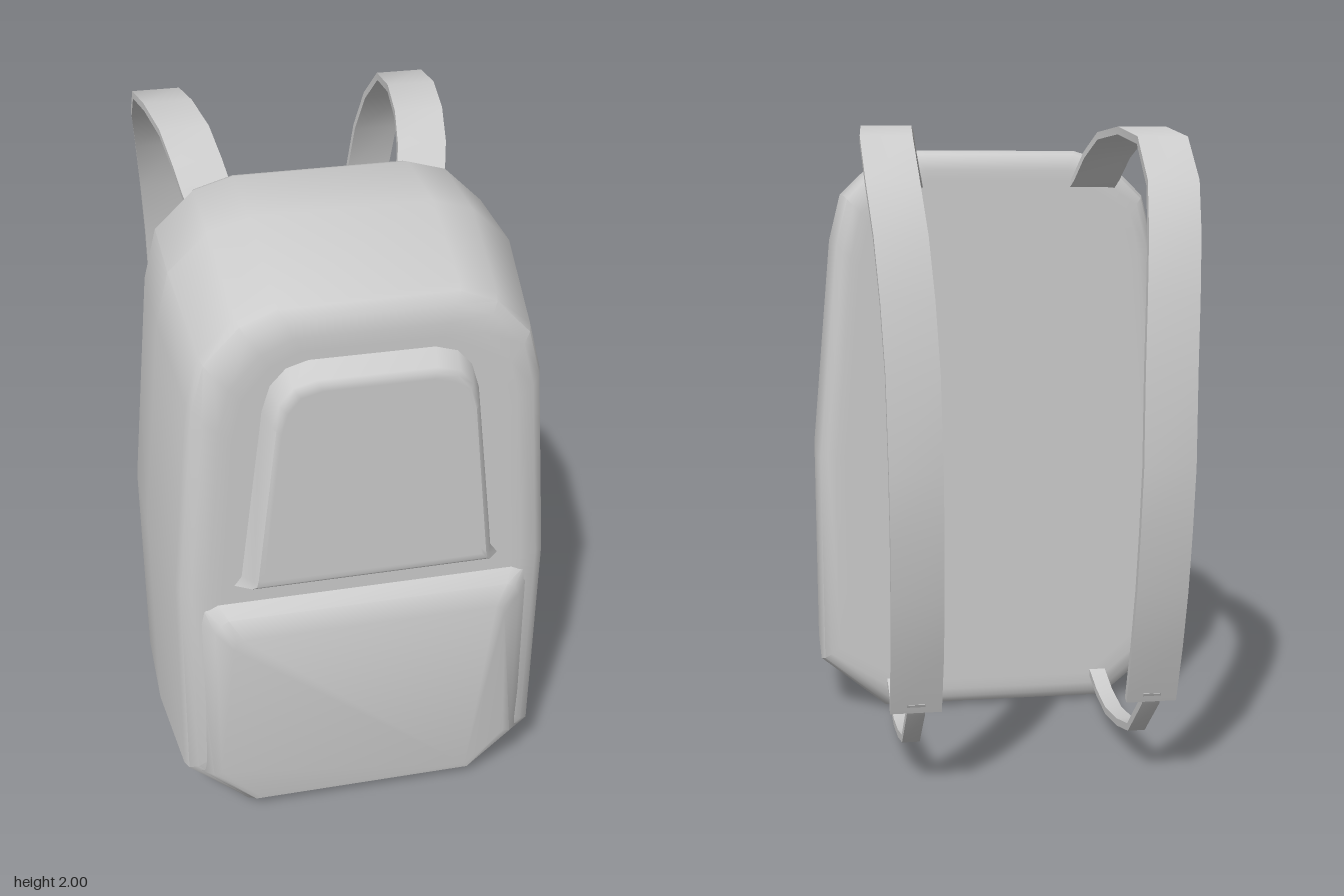
import * as THREE from 'three';
import { toCreasedNormals } from 'three/addons/utils/BufferGeometryUtils.js';

const material = new THREE.MeshStandardMaterial({ color: 0xcccccc });

// Skin a row of closed loops of [x, y, z] points and cap both ends.
// Loops run counter-clockwise seen from the far end of the row.
function loft(name, loops, crease) {
  const n = loops[0].length;
  const index = [];
  for (let i = 0; i < loops.length - 1; i++) {
    for (let j = 0; j < n; j++) {
      const k = (j + 1) % n;
      const a = i * n + j, b = i * n + k, c = b + n, d = a + n;
      index.push(a, b, c, a, c, d);
    }
  }
  const end = (loops.length - 1) * n;
  for (let j = 1; j < n - 1; j++) {
    index.push(0, j + 1, j);
    index.push(end, end + j, end + j + 1);
  }
  const geometry = new THREE.BufferGeometry();
  geometry.setAttribute('position', new THREE.Float32BufferAttribute(loops.flat(2), 3));
  geometry.setIndex(index);
  const mesh = new THREE.Mesh(toCreasedNormals(geometry, crease), material);
  mesh.name = name;
  return mesh;
}

// Mirror the right half of an outline (listed bottom to top) into a full loop.
function mirrored(half) {
  return [...half, ...half.slice().reverse().map(([x, y, z]) => [-x, y, z])];
}

// Shrink a loop by d on every side and place it at depth z.
function inset(loop, d, z) {
  const w = Math.max(...loop.map((p) => p[0]));
  const top = Math.max(...loop.map((p) => p[1]));
  const bottom = Math.min(...loop.map((p) => p[1]));
  const mid = (top + bottom) / 2, h = (top - bottom) / 2;
  return loop.map(([x, y, pz]) => [x * (w - d) / w, mid + (y - mid) * (h - d) / h, z ?? pz]);
}

// Main bag: full-size outline at the back, smaller sloping outline at the front
function makeBody() {
  const back = mirrored([[0.39, 0], [0.612, 0.18], [0.615, 0.9], [0.55, 1.62],
    [0.51, 1.78], [0.39, 1.895], [0.27, 1.93]]);
  const front = mirrored([[0.38, 0], [0.575, 0.18], [0.572, 0.9], [0.515, 1.53],
    [0.475, 1.68], [0.37, 1.79], [0.26, 1.835]]);
  return loft('body', [
    inset(back, 0.1, 0.07),
    inset(back, 0.065, 0.07),
    inset(back, 0.035, 0.076),
    inset(back, 0.012, 0.095),
    inset(back, 0, 0.13),
    inset(back, 0, 0.42),
    inset(front, 0, 0.74),
    inset(front, 0.012, 0.775),
    inset(front, 0.04, 0.8),
    inset(front, 0.09, 0.81),
    inset(front, 0.13, 0.81),
  ], 0.62);
}

// Lower pocket: wedge that bulges towards its rounded top edge
function makeLowerPocket() {
  const base = mirrored([[0.37, 0.025, 0.785], [0.53, 0.18, 0.785], [0.52, 0.8, 0.785],
    [0.5, 0.85, 0.8], [0.46, 0.87, 0.8]]);
  const edge = mirrored([[0.355, 0.045, 0.815], [0.49, 0.19, 0.825], [0.47, 0.79, 0.855],
    [0.455, 0.82, 0.855], [0.43, 0.835, 0.855]]);
  const face = mirrored([[0.345, 0.06, 0.818], [0.465, 0.2, 0.83], [0.42, 0.74, 0.878],
    [0.41, 0.765, 0.881], [0.39, 0.775, 0.882]]);
  return loft('lowerPocket', [base, edge, face], 0.7);
}

// Upper pocket: raised trapezoid panel with softened sides and top
function makeUpperPocket() {
  const base = mirrored([[0.41, 0.925, 0.8], [0.385, 0.96, 0.8], [0.315, 1.53, 0.8],
    [0.29, 1.61, 0.8], [0.245, 1.66, 0.8], [0.18, 1.68, 0.8]]);
  const face = mirrored([[0.36, 0.96, 0.875], [0.355, 0.985, 0.875], [0.295, 1.51, 0.875],
    [0.275, 1.58, 0.875], [0.235, 1.63, 0.875], [0.17, 1.647, 0.875]]);
  return loft('upperPocket', [base, face, inset(face, 0.012, 0.885), inset(face, 0.03, 0.885)], 0.75);
}

// Strap: rectangular section swept along [x, y, z] points; side is +1 or -1
function makeStrap(name, path, width, side) {
  const half = 0.012;
  const loops = path.map(([x, y, z], i) => {
    const p = path[Math.max(i - 1, 0)], q = path[Math.min(i + 1, path.length - 1)];
    const len = Math.hypot(q[1] - p[1], q[2] - p[2]);
    const vy = half * (q[2] - p[2]) / len, vz = -half * (q[1] - p[1]) / len;
    const w = width / 2, cx = x * side;
    return [[cx - w, y - vy, z - vz], [cx + w, y - vy, z - vz],
      [cx + w, y + vy, z + vz], [cx - w, y + vy, z + vz]];
  });
  return loft(name, loops, 0.7);
}

export function createModel() {
  const model = new THREE.Group();
  model.name = 'backpack';
  model.add(makeBody(), makeLowerPocket(), makeUpperPocket());

  // Wide padded part of each shoulder strap, then its narrow lower webbing
  const shoulder = [[0.32, 1.8, 0.1], [0.335, 1.84, 0.05], [0.355, 1.915, -0.02], [0.375, 1.975, -0.14],
    [0.4, 1.988, -0.33], [0.415, 1.955, -0.53], [0.41, 1.83, -0.685], [0.395, 1.68, -0.77],
    [0.382, 1.5, -0.82], [0.372, 1.3, -0.85], [0.367, 1.02, -0.868], [0.364, 0.83, -0.853],
    [0.362, 0.64, -0.825], [0.36, 0.46, -0.782], [0.36, 0.27, -0.715]];
  const webbing = [[0.36, 0.3, -0.727], [0.36, 0.265, -0.71], [0.36, 0.115, -0.53], [0.36, 0.075, -0.37],
    [0.36, 0.053, -0.2], [0.36, 0.068, -0.05], [0.36, 0.1, 0.07], [0.36, 0.12, 0.11]];
  for (const side of [1, -1]) {
    const strap = new THREE.Group();
    strap.name = side > 0 ? 'leftStrap' : 'rightStrap';
    strap.add(makeStrap('shoulderStrap', shoulder, 0.155, side));
    strap.add(makeStrap('lowerWebbing', webbing, 0.055, side));
    model.add(strap);
  }
  return model;
}
